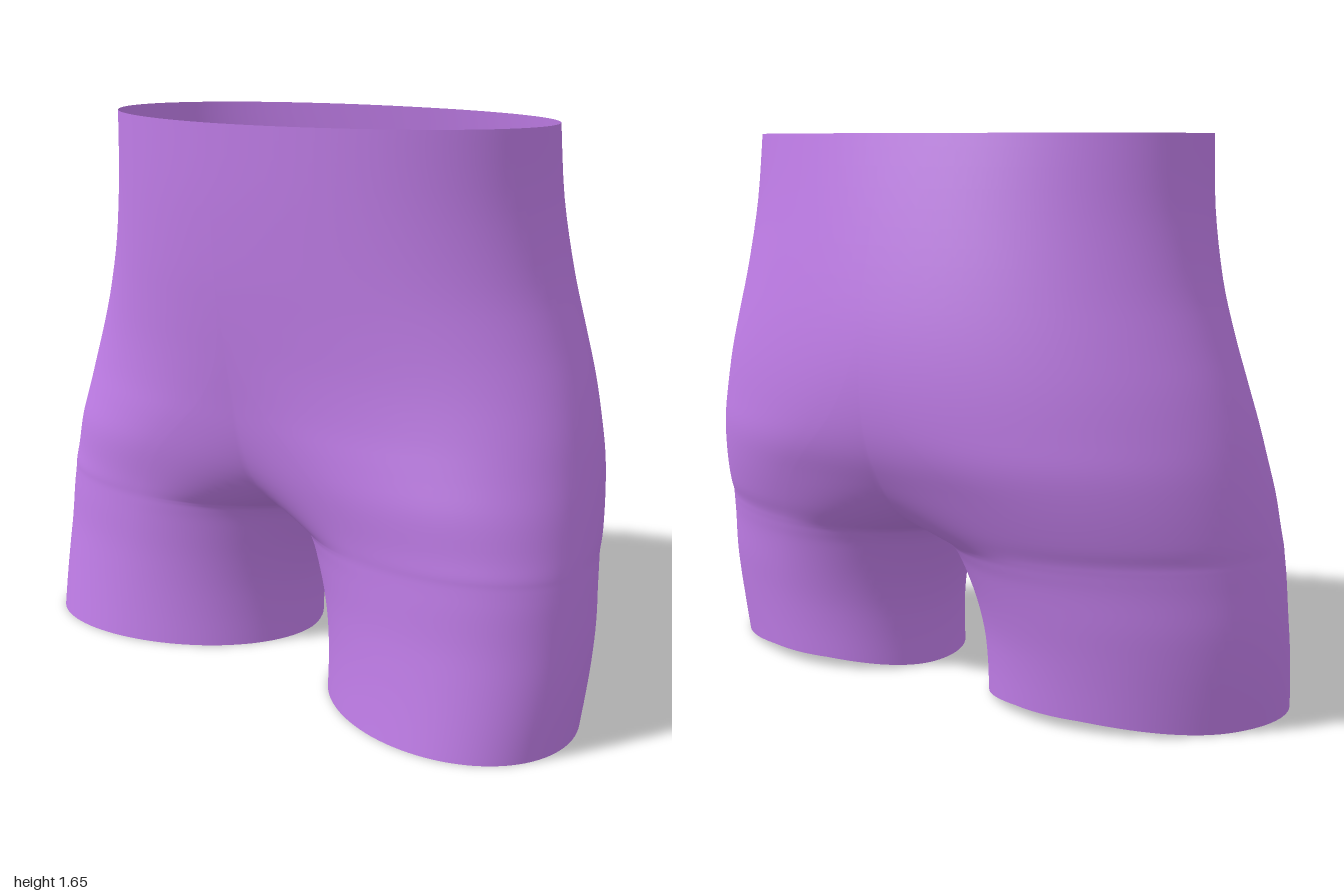
import * as THREE from 'three';
import { mergeVertices } from 'three/addons/utils/BufferGeometryUtils.js';

// Cross-sections of one half, hem to waist: [y, xMin, xMax, zInner, zCentre, zOuter, bend].
// A negative zInner means the oval passes the middle plane and is cut there.
const SECTIONS = [
  [0.00, -0.38, 0.33, 0.125, 0.555, 0.985, 0.15],
  [0.10, -0.375, 0.332, 0.124, 0.55, 0.994, 0.135],
  [0.20, -0.372, 0.337, 0.115, 0.54, 0.999, 0.12],
  [0.30, -0.37, 0.348, 0.092, 0.52, 0.999, 0.11],
  [0.40, -0.37, 0.364, 0.056, 0.49, 0.995, 0.11],
  [0.45, -0.371, 0.376, 0.030, 0.47, 0.992, 0.11],
  [0.475, -0.372, 0.383, 0.00, 0.46, 0.990, 0.11],
  [0.50, -0.375, 0.392, -0.085, 0.448, 0.988, 0.11],
  [0.55, -0.385, 0.412, -0.27, 0.42, 0.984, 0.10],
  [0.65, -0.405, 0.45, -0.65, 0.35, 0.972, 0.09],
  [0.75, -0.42, 0.487, -0.92, 0.24, 0.955, 0.08],
  [0.85, -0.433, 0.506, -1.00, 0.13, 0.934, 0.07],
  [0.97, -0.452, 0.512, -1.00, 0.05, 0.900, 0.05],
  [1.10, -0.472, 0.503, -1.00, 0.015, 0.857, 0.03],
  [1.25, -0.491, 0.48, -1.00, 0.005, 0.813, 0.01],
  [1.45, -0.508, 0.442, -1.00, 0.00, 0.779, -0.01],
  [1.655, -0.518, 0.40, -1.00, 0.00, 0.77, -0.03],
];
const STEPS = 4, COLS = 96;

// Catmull-Rom blend of four numbers
function blend(a, b, c, d, t) {
  return b + 0.5 * t * (c - a + t * (2 * a - 5 * b + 4 * c - d + t * (3 * (b - c) + d - a)));
}

// Smooth rows between the given sections
function makeRows() {
  const rows = [], last = SECTIONS.length - 1;
  const at = i => SECTIONS[Math.min(last, Math.max(0, i))];
  for (let i = 0; i < last; i++)
    for (let s = 0; s < STEPS; s++)
      rows.push(at(i).map((v, k) => blend(at(i - 1)[k], v, at(i + 1)[k], at(i + 2)[k], s / STEPS)));
  rows.push(at(last));
  return rows;
}

// One point of a row; u runs from -1 to 1 around the outside of the leg.
// The middle half of u is the outer thigh, the rest the inner thigh.
function pointOn([y, xMin, xMax, zIn, zMid, zOut, bend], u) {
  const inner = zMid - zIn, outer = zOut - zMid, half = Math.PI / 2;
  const reach = zIn < 0 ? Math.acos(-zMid / inner) : Math.PI;
  const over = Math.max(0, Math.abs(u) - 0.5) * 2;
  const t = over > 0 ? Math.sign(u) * (half + over * (reach - half)) : u * Math.PI;
  const c = Math.cos(t);
  let z = zMid + (c > 0 ? outer : inner) * c;
  if (z < 1e-5) z = 0;
  const x = (xMin + xMax) / 2 + (xMax - xMin) / 2 * Math.sin(t) - bend * (z / zOut) ** 1.5;
  // the hem rises a little on the +x side
  const lift = 0.03 * Math.max(0, 1 - y / 0.4) * Math.min(1, Math.max(0, x / 0.26)) ** 2;
  return [x, y + lift, z];
}

function shortsGeometry() {
  const rows = makeRows(), positions = [], index = [];
  for (const side of [1, -1]) {
    const base = positions.length / 3;
    for (const row of rows)
      for (let j = 0; j <= COLS; j++) {
        const [x, y, z] = pointOn(row, 2 * j / COLS - 1);
        positions.push(x, y, side * z);
      }
    for (let i = 0; i < rows.length - 1; i++)
      for (let j = 0; j < COLS; j++) {
        const a = base + i * (COLS + 1) + j, b = a + 1, d = a + COLS + 1, c = d + 1;
        if (side > 0) index.push(a, b, c, a, c, d);
        else index.push(a, c, b, a, d, c);
      }
  }
  const geometry = new THREE.BufferGeometry();
  geometry.setAttribute('position', new THREE.Float32BufferAttribute(positions, 3));
  geometry.setIndex(index);
  // weld the two halves so shading runs across the middle seam
  const welded = mergeVertices(geometry, 1e-4);
  welded.computeVertexNormals();
  return welded;
}

export function createModel() {
  const model = new THREE.Group();
  model.name = 'shorts';
  const cloth = new THREE.MeshStandardMaterial({ color: 0xc07de8, side: THREE.DoubleSide });
  const shell = new THREE.Mesh(shortsGeometry(), cloth);
  shell.name = 'shortsShell';
  model.add(shell);
  return model;
}
